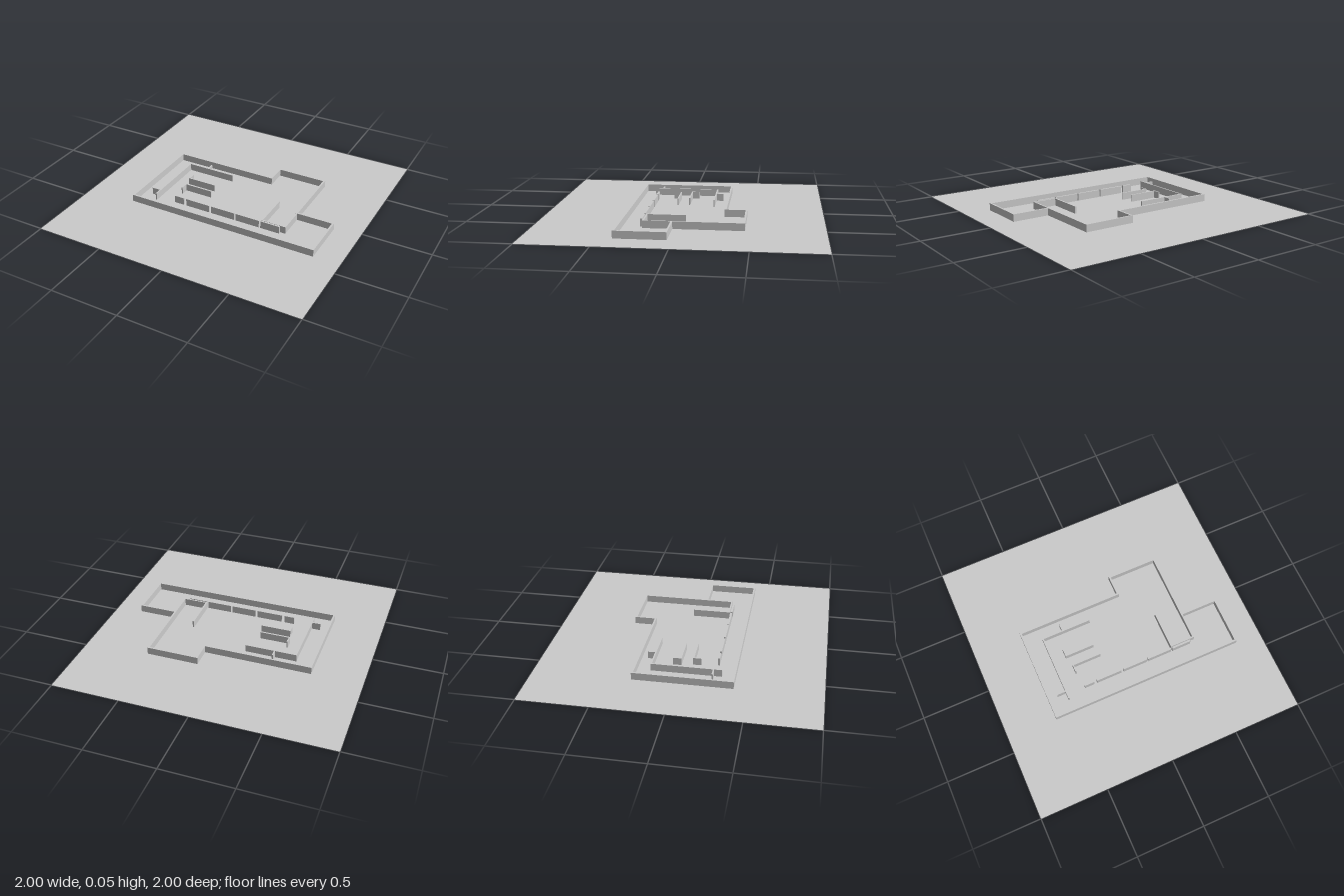
import * as THREE from 'three';

const HEIGHT = 0.053;

export function createModel() {
  const model = new THREE.Group();
  const material = new THREE.MeshStandardMaterial({ color: 0xcccccc, flatShading: true });

  // Upright box between two floor corners
  function block(parent, name, x0, z0, x1, z1, height = HEIGHT) {
    const mesh = new THREE.Mesh(new THREE.BoxGeometry(x1 - x0, height, z1 - z0), material);
    mesh.position.set((x0 + x1) / 2, height / 2, (z0 + z1) / 2);
    mesh.name = name;
    parent.add(mesh);
  }

  // Wall running along a centre line of axis-aligned points
  function wall(name, thickness, points) {
    const group = new THREE.Group();
    group.name = name;
    const h = thickness / 2;
    for (let i = 0; i + 1 < points.length; i++) {
      const [ax, az] = points[i], [bx, bz] = points[i + 1];
      block(group, name + 'Section', Math.min(ax, bx) - h, Math.min(az, bz) - h,
        Math.max(ax, bx) + h, Math.max(az, bz) + h);
    }
    model.add(group);
  }

  // Flat ground sheet
  const groundMaterial = material.clone();
  groundMaterial.side = THREE.DoubleSide;
  const ground = new THREE.Mesh(new THREE.PlaneGeometry(2, 2).rotateX(-Math.PI / 2), groundMaterial);
  ground.name = 'groundSheet';
  model.add(ground);

  // Closed outer wall with the stepped back and the side yard
  wall('outerWall', 0.013, [
    [-0.628, -0.299], [0.157, -0.299], [0.157, -0.449], [0.526, -0.449],
    [0.526, 0.044], [0.801, 0.044], [0.801, 0.391], [-0.628, 0.391], [-0.628, -0.299],
  ]);

  // Walls of the room at the right
  wall('sideRoomWall', 0.011, [[0.348, -0.03], [0.348, 0.24], [0.526, 0.24], [0.526, 0.044]]);

  // Long corner wall with its two stubs
  wall('cornerWall', 0.01, [[-0.493, 0.296], [-0.493, -0.194], [-0.126, -0.194]]);
  wall('backStub', 0.01, [[-0.336, -0.246], [-0.336, -0.194]]);
  wall('sideStub', 0.01, [[-0.555, 0.241], [-0.493, 0.241]]);

  // Two L-shaped partitions
  wall('backPartition', 0.009, [[-0.389, -0.056], [-0.389, -0.004], [-0.177, -0.004]]);
  wall('frontPartition', 0.009, [[-0.369, 0.134], [-0.369, 0.082], [-0.157, 0.082]]);

  // Row of front panels with narrow gaps
  const spans = [[-0.353, -0.278], [-0.257, -0.065], [-0.048, 0.139], [0.15, 0.335], [0.347, 0.418], [0.418, 0.492]];
  const panels = new THREE.Group();
  panels.name = 'frontPanels';
  for (const [x0, x1] of spans) block(panels, 'frontPanel', x0, 0.251, x1, 0.265, 0.055);
  model.add(panels);

  return model;
}
